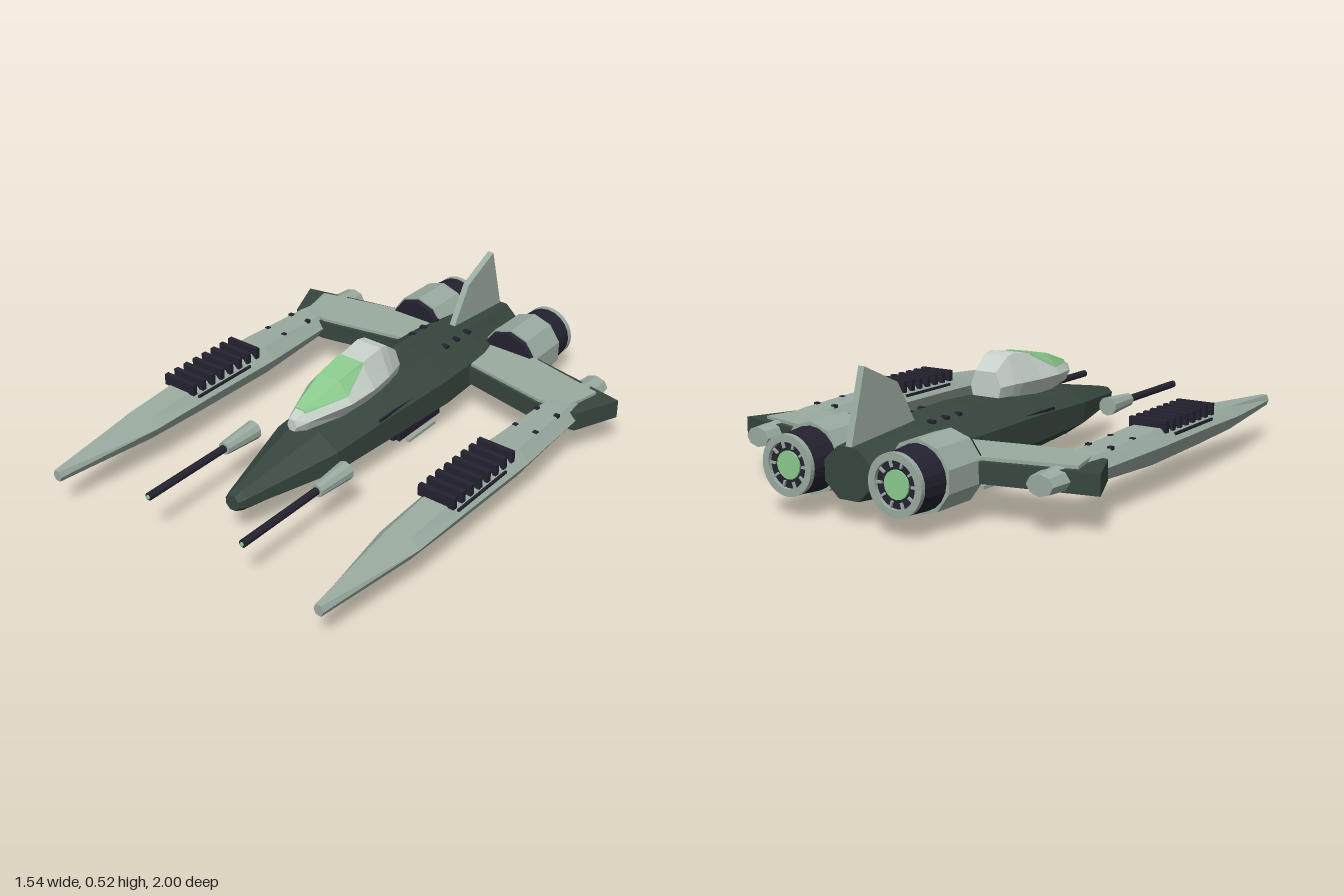
import * as THREE from 'three';

const mat = (name, color) => {
  const m = new THREE.MeshStandardMaterial({ color });
  m.name = name;
  return m;
};

export function createModel() {
  const model = new THREE.Group();
  model.name = 'starfighter';
  const hull = mat('dark green hull', 0x37463e);
  const plate = mat('grey green plating', 0x9aaba0);
  const navy = mat('dark navy trim', 0x23222f);
  const glass = mat('green glass', 0x8ccb8e);
  const shell = mat('pale canopy shell', 0xc6d0c8);

  const add = (name, geo, material, x = 0, y = 0, z = 0) => {
    const flat = geo.index ? geo.toNonIndexed() : geo;
    flat.computeVertexNormals();
    const mesh = new THREE.Mesh(flat, material);
    mesh.name = name;
    mesh.position.set(x, y, z);
    model.add(mesh);
    return mesh;
  };
  const box = (name, w, h, d, material, x, y, z) =>
    add(name, new THREE.BoxGeometry(w, h, d), material, x, y, z);
  // cylinder along z between two depths
  const tube = (name, rFront, rBack, zFront, zBack, sides, material, x, y) =>
    add(name, new THREE.CylinderGeometry(rFront, rBack, zFront - zBack, sides).rotateX(Math.PI / 2),
      material, x, y, (zFront + zBack) / 2);

  // capped skin over rings listed front to back: [z, [[x, y], ...counter-clockwise]]
  const loft = (rings) => {
    const pos = [];
    const put = (r, j) => pos.push(...r[1][j % r[1].length], r[0]);
    const n = rings[0][1].length, last = rings[rings.length - 1];
    for (let i = 0; i < rings.length - 1; i++) {
      const a = rings[i], b = rings[i + 1];
      for (let j = 0; j < n; j++) {
        put(a, j); put(b, j); put(a, j + 1);
        put(a, j + 1); put(b, j); put(b, j + 1);
      }
    }
    for (let j = 1; j < n - 1; j++) {
      put(rings[0], 0); put(rings[0], j); put(rings[0], j + 1);
      put(last, 0); put(last, j + 1); put(last, j);
    }
    const geo = new THREE.BufferGeometry();
    geo.setAttribute('position', new THREE.Float32BufferAttribute(pos, 3));
    return geo;
  };
  const octagon = ([z, w, y0, y1]) => [z, Array.from({ length: 8 }, (_, k) => {
    const a = (k + 0.5) * Math.PI / 4, c = Math.cos(Math.PI / 8);
    return [Math.cos(a) * w / c, (y0 + y1) / 2 + Math.sin(a) * (y1 - y0) / 2 / c];
  })];
  const hexagon = (z, b, m, t, y0, y1, y2) =>
    [z, [[b, y0], [m, y1], [t, y2], [-t, y2], [-m, y1], [-b, y0]]];
  // flat slab from an outline of [x, z] points
  const slab = (points, y0, y1, s) => {
    const shape = new THREE.Shape(points.map(([x, z]) => new THREE.Vector2(s * x, -z)));
    return new THREE.ExtrudeGeometry(shape, { depth: y1 - y0, bevelEnabled: false })
      .rotateX(-Math.PI / 2).translate(0, y0, 0);
  };

  // fuselage
  add('fuselage', loft([
    [0.735, 0.03, 0.13, 0.19], [0.7, 0.042, 0.117, 0.2], [0.32, 0.143, 0.075, 0.268],
    [0, 0.162, 0.058, 0.295], [-0.33, 0.18, 0.05, 0.305], [-0.6, 0.17, 0.058, 0.295],
    [-0.955, 0.1, 0.085, 0.265],
  ].map(octagon)), hull);

  // canopy: z, bottom, middle and top half widths, their heights, glass reach down the side
  const canopy = [
    [0.405, 0.012, 0.022, 0.012, 0.295, 0.315, 0.342, 0],
    [0.36, 0.03, 0.045, 0.018, 0.285, 0.325, 0.362, 0.2],
    [0.19, 0.07, 0.108, 0.045, 0.28, 0.342, 0.415, 0.65],
    [0.06, 0.075, 0.113, 0.052, 0.28, 0.345, 0.438, 0.06],
    [-0.05, 0.07, 0.098, 0.055, 0.28, 0.345, 0.455, 0],
    [-0.09, 0.065, 0.088, 0.052, 0.28, 0.345, 0.447, 0],
    [-0.158, 0.055, 0.068, 0.045, 0.285, 0.34, 0.395, 0],
  ];
  add('canopyShell', loft(canopy.map((c) => hexagon(...c))), shell);
  add('canopyGlass', loft(canopy.slice(1, 4).map(([z, , m, t, , y1, y2, f]) => {
    const x = t + (m - t) * f + 0.004, y = y2 + (y1 - y2) * f;
    return [z, [[x, y], [t + 0.002, y2 + 0.005], [-t - 0.002, y2 + 0.005], [-x, y]]];
  })), glass);

  // tail fin
  const fin = new THREE.Shape([[0.6, 0.28], [0.7, 0.445], [0.875, 0.525], [0.95, 0.26]]
    .map(([z, y]) => new THREE.Vector2(z, y)));
  add('tailFin', new THREE.ExtrudeGeometry(fin, { depth: 0.026, bevelEnabled: false })
    .translate(0, 0, -0.013).rotateY(Math.PI / 2), plate);

  // belly pack
  box('bellyPack', 0.2, 0.036, 0.27, navy, 0, 0.036, -0.255);
  box('bellyPackRim', 0.17, 0.025, 0.31, navy, 0, 0.036, -0.255);

  for (const s of [-1, 1]) {
    box('landingSkid', 0.016, 0.013, 0.18, plate, s * 0.11, 0.0065, -0.25);
    for (const z of [-0.6, -0.52, -0.445])
      box('hullVent', 0.028, 0.012, 0.018, navy, s * 0.08, 0.296, z);
    box('hullGroove', 0.008, 0.01, 0.26, navy, s * 0.152, 0.232, -0.05);

    // wing with swept dark tip and light top skin
    add('wing', slab([[0.08, -0.76], [0.35, -0.712], [0.77, -0.625], [0.69, -0.44],
      [0.53, -0.415], [0.08, -0.505]], 0.14, 0.215, s), hull);
    add('wingSkin', slab([[0.08, -0.745], [0.35, -0.69], [0.68, -0.612], [0.64, -0.44],
      [0.53, -0.428], [0.08, -0.515]], 0.214, 0.227, s), plate);

    // wingtip pod
    const pod = add('wingPod', loft([
      [1, 0.02, 0.14, 0.16, 0.182], [0.57, 0.083, 0.122, 0.178, 0.212],
      [0.3, 0.09, 0.117, 0.184, 0.23], [-0.08, 0.1, 0.115, 0.188, 0.238],
      [-0.43, 0.083, 0.13, 0.185, 0.23], [-0.6, 0.068, 0.138, 0.18, 0.215],
    ].map(([z, w, y0, y1, y2]) => hexagon(z, w * 0.55, w, w * 0.55, y0, y1, y2))), plate);
    pod.position.x = s * 0.61;
    tube('podTail', 0.067, 0.052, -0.58, -0.738, 8, plate, s * 0.61, 0.178).scale.y = 0.72;
    for (let i = 0; i < 8; i++)
      box('podRib', 0.152, 0.045, 0.02, navy, s * 0.61, 0.243, -0.01 + i * 0.052);
    for (const e of [-1, 1]) {
      for (const z of [-0.36, -0.21])
        box('podVent', 0.018, 0.02, 0.018, navy, s * 0.61 + e * 0.044, 0.228, z);
      box('podGroove', 0.008, 0.01, 0.3, navy, s * 0.61 + e * 0.079, 0.208, 0.19);
    }

    // cannon
    const gx = s * 0.22, gy = 0.196;
    tube('cannonHousing', 0.026, 0.038, 0.535, 0.37, 10, plate, gx, gy);
    tube('cannonBarrel', 0.015, 0.015, 0.925, 0.5, 10, navy, gx, gy);
    tube('cannonMuzzle', 0.008, 0.008, 0.93, 0.92, 10, glass, gx, gy);

    // engine
    const ex = s * 0.23, ey = 0.18;
    tube('engineIntake', 0.122, 0.13, -0.672, -0.72, 10, navy, ex, ey);
    tube('engineCowl', 0.132, 0.13, -0.692, -0.875, 10, plate, ex, ey);
    tube('engineNozzle', 0.115, 0.106, -0.87, -0.985, 20, navy, ex, ey);
    const rim = new THREE.Shape().absarc(0, 0, 0.108, 0, Math.PI * 2);
    rim.holes.push(new THREE.Path().absarc(0, 0, 0.082, 0, Math.PI * 2, true));
    add('nozzleRim', new THREE.ExtrudeGeometry(rim, { depth: 0.02, bevelEnabled: false, curveSegments: 20 }),
      plate, ex, ey, -1);
    tube('engineGlow', 0.05, 0.05, -0.98, -0.992, 16, glass, ex, ey);
    for (let i = 0; i < 10; i++) {
      const a = i * Math.PI / 5;
      box('nozzleVane', 0.026, 0.008, 0.01, plate,
        ex + Math.cos(a) * 0.072, ey + Math.sin(a) * 0.072, -0.988).rotation.z = a;
    }
  }
  return model;
}
